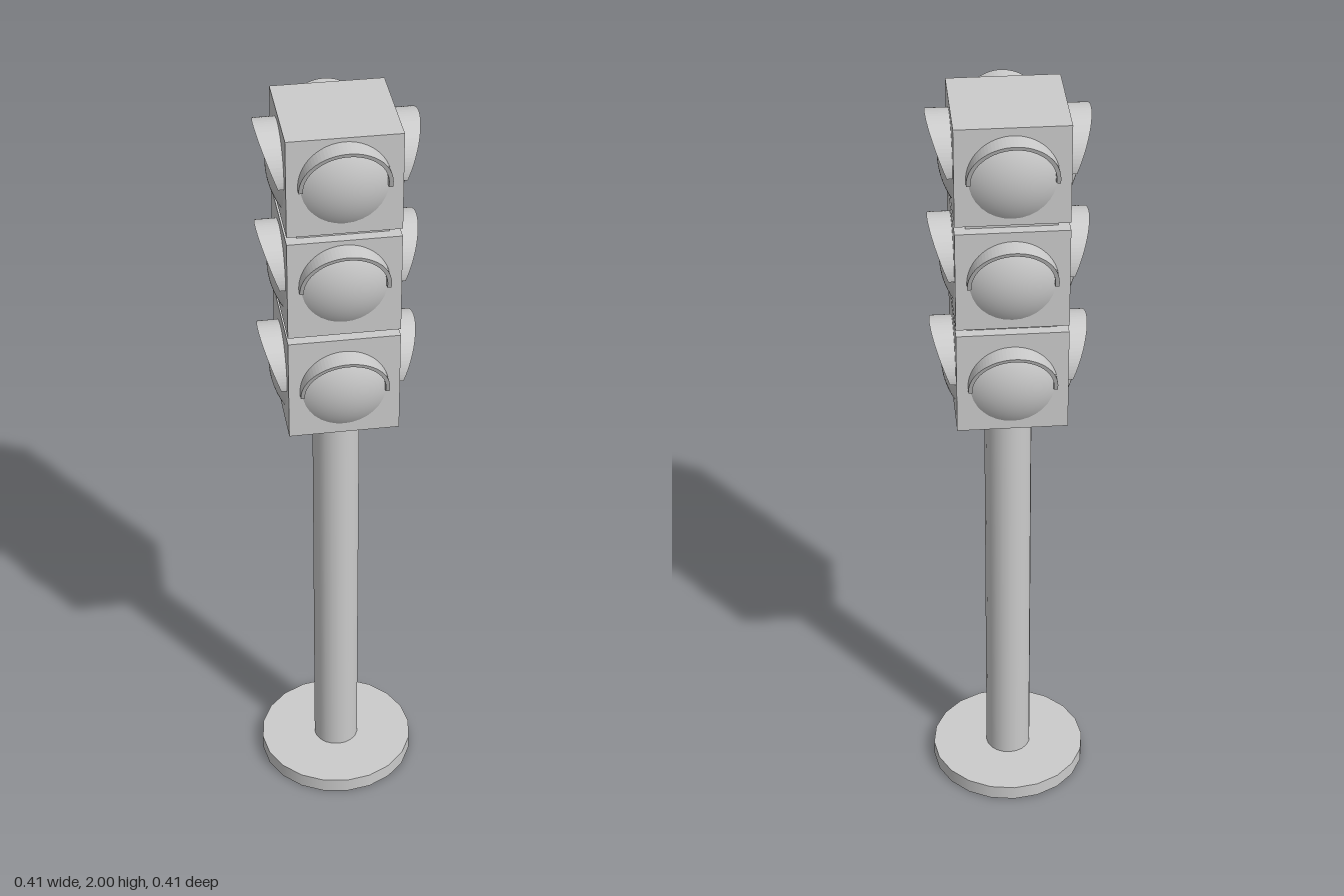
import * as THREE from 'three';

const material = new THREE.MeshStandardMaterial({ color: 0xcccccc });
const openMaterial = new THREE.MeshStandardMaterial({ color: 0xcccccc, side: THREE.DoubleSide });

const HALF = 0.1375; // half width of a lamp housing
const R = 0.11;      // outer radius of a hood

function add(parent, name, geometry, mat = material, y = 0) {
  const mesh = new THREE.Mesh(geometry, mat);
  mesh.name = name;
  mesh.position.y = y;
  parent.add(mesh);
  return mesh;
}

// Half-ring visor pointing along +z, its front edge sloping back towards the ends
function hoodGeometry() {
  const shape = new THREE.Shape();
  shape.absarc(0, 0, R, -0.08, Math.PI + 0.08, false);
  shape.absarc(0, 0, R - 0.01, Math.PI + 0.08, -0.08, true);
  const geometry = new THREE.ExtrudeGeometry(shape, { depth: 1, bevelEnabled: false, curveSegments: 20 });
  const p = geometry.attributes.position;
  for (let i = 0; i < p.count; i++) {
    const reach = 0.155 + 0.04 * p.getY(i) / R;
    p.setZ(i, p.getZ(i) > 0.5 ? reach : HALF - 0.005);
  }
  geometry.computeVertexNormals();
  return geometry;
}

// Shallow spherical cap bulging along +z
function lensGeometry() {
  const radius = 0.104, rise = 0.03;
  const sphere = (radius * radius + rise * rise) / (2 * rise);
  const geometry = new THREE.SphereGeometry(sphere, 32, 8, 0, Math.PI * 2, 0, Math.asin(radius / sphere));
  geometry.rotateX(Math.PI / 2);
  geometry.translate(0, 0, HALF + rise - sphere);
  return geometry;
}

export function createModel() {
  const model = new THREE.Group();
  model.name = 'trafficLight';

  // Round foot with a central hole, and the hollow pole standing on it
  const foot = [[0.06, 0], [0.207, 0], [0.207, 0], [0.207, 0.04], [0.207, 0.04], [0.06, 0.04]];
  const footParts = new THREE.Group();
  footParts.name = 'base';
  model.add(footParts);
  for (let i = 0; i < foot.length; i += 2) {
    const points = foot.slice(i, i + 2).map(([x, y]) => new THREE.Vector2(x, y));
    add(footParts, ['baseUnderside', 'baseRim', 'baseTop'][i / 2], new THREE.LatheGeometry(points, 20), openMaterial);
  }
  add(model, 'pole', new THREE.CylinderGeometry(0.06, 0.06, 1.18, 20, 1, true), openMaterial, 0.59);

  const hood = hoodGeometry();
  const lens = lensGeometry();

  // Three stacked housings, each with a lens and hood on all four sides
  const housings = [
    { name: 'lower', bottom: 1.178, top: 1.45, centre: 1.304, frontLift: 0.003 },
    { name: 'middle', bottom: 1.468, top: 1.729, centre: 1.595, frontLift: 0.012 },
    { name: 'upper', bottom: 1.749, top: 2, centre: 1.87, frontLift: 0.01 },
  ];
  for (const { name, bottom, top, centre, frontLift } of housings) {
    const unit = new THREE.Group();
    unit.name = name + 'Lamp';
    model.add(unit);
    add(unit, 'housing', new THREE.BoxGeometry(HALF * 2, top - bottom, HALF * 2), material, (top + bottom) / 2);
    ['front', 'left', 'back', 'right'].forEach((side, i) => {
      const face = new THREE.Group();
      face.name = side + 'Signal';
      face.position.y = centre + (i === 0 ? frontLift : 0);
      face.rotation.y = i * Math.PI / 2;
      unit.add(face);
      add(face, 'lens', lens);
      add(face, 'hood', hood, openMaterial);
    });
  }

  // Narrower spacers closing the gaps between housings
  for (let i = 0; i < 2; i++) {
    const low = housings[i].top, high = housings[i + 1].bottom;
    add(model, 'spacer', new THREE.BoxGeometry(0.22, high - low, 0.22), material, (low + high) / 2);
  }
  return model;
}
